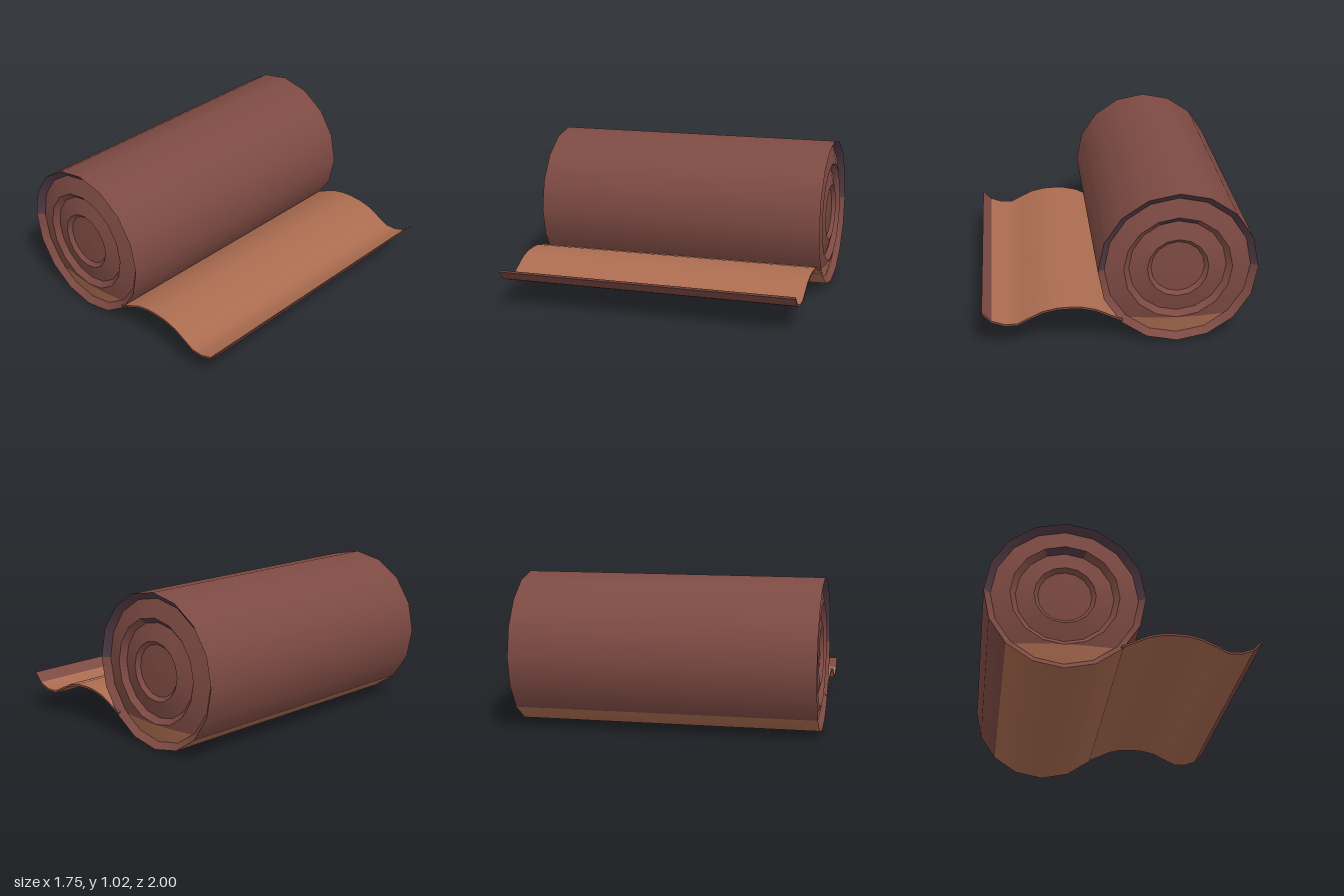
import * as THREE from 'three';

const CX = -0.37, CY = 0.508, SIDES = 16, STEP = Math.PI * 2 / SIDES;

export function createModel() {
  const maroon = new THREE.MeshStandardMaterial({ color: 0x7d4a43 });
  maroon.name = 'maroon cloth';
  const tan = new THREE.MeshStandardMaterial({ color: 0xab6c50 });
  tan.name = 'tan lining';
  const plum = new THREE.MeshStandardMaterial({ color: 0x513a44 });
  plum.name = 'dark plum edge';

  const model = new THREE.Group();
  model.name = 'clothRoll';
  const add = (parent, name, geometry, material) => {
    const mesh = new THREE.Mesh(geometry, material);
    mesh.name = name;
    parent.add(mesh);
    return mesh;
  };

  // Band swept around the z axis; segment 0 starts at the bottom
  const band = (r0, z0, r1, z1, first, count) =>
    new THREE.LatheGeometry([new THREE.Vector2(r0, z0), new THREE.Vector2(r1, z1)],
      count, first * STEP, count * STEP).rotateX(Math.PI / 2);

  // Roll body, lined in tan underneath
  const roll = new THREE.Group();
  roll.name = 'roll';
  roll.position.set(CX, CY, 0);
  model.add(roll);
  add(roll, 'rollOuter', band(0.508, -1, 0.508, 1, 2, 12), maroon);
  add(roll, 'rollUnderside', band(0.508, -1, 0.508, 1, -2, 4), tan);

  // Coiled ends: grooves and ridges as [radius, z]
  const coil = [[0.508, 1], [0.465, 0.96], [0.345, 0.99], [0.31, 0.955], [0.195, 0.985], [0.17, 0.96], [0, 0.965]];
  const darkArc = { 0: [4, 8], 2: [7, 2] };
  for (const side of [0, 1]) {
    const end = new THREE.Group();
    end.name = side ? 'backEnd' : 'frontEnd';
    end.rotation.y = side * Math.PI;
    roll.add(end);
    for (let i = 0; i < coil.length - 1; i++) {
      const [a, b] = [coil[i], coil[i + 1]];
      const arc = darkArc[i];
      if (arc) {
        add(end, 'coilShade', band(...a, ...b, arc[0], arc[1]), plum);
        add(end, 'coilRing', band(...a, ...b, arc[0] + arc[1], SIDES - arc[1]), maroon);
      } else add(end, 'coilRing', band(...a, ...b, 0, SIDES), maroon);
    }
    add(end, 'liningPatch', patchGeometry(), tan);
  }

  // Loose flap, waving out from the roll
  const wave = [[-0.02, 0.16], [0.06, 0.197], [0.15, 0.24], [0.24, 0.26], [0.31, 0.264], [0.4, 0.26],
    [0.49, 0.239], [0.58, 0.195], [0.65, 0.159], [0.73, 0.159], [0.81, 0.187], [0.87, 0.25]];
  const half = 0.007;
  const shape = new THREE.Shape([
    ...wave.map(([x, y]) => new THREE.Vector2(x, y - half)),
    ...wave.slice().reverse().map(([x, y]) => new THREE.Vector2(x, y + half)),
  ]);
  const slab = new THREE.ExtrudeGeometry(shape, { depth: 2, bevelEnabled: false }).translate(0, 0, -1);
  const flap = new THREE.Group();
  flap.name = 'flap';
  model.add(flap);
  add(flap, 'flapEdge', slab, maroon);

  // Smooth tan skins, stopping short of the tip
  const skin = (points, dir) => {
    const n = points.length;
    const g = new THREE.PlaneGeometry(1, 2, n - 1, 1).rotateX(-dir * Math.PI / 2);
    const p = g.attributes.position;
    for (let i = 0; i < p.count; i++) {
      const [x, y] = points[i % n];
      p.setXY(i, x, y + dir * (half + 0.002));
    }
    g.computeVertexNormals();
    return g;
  };
  add(flap, 'flapTop', skin(wave.slice(0, -1), 1), tan);
  add(flap, 'flapUnderside', skin(wave.slice(0, -1), -1), tan);

  return model;
}

// Flat-topped lining patch lying on the lower part of the outer ridge
function patchGeometry() {
  const limit = Math.acos(0.345 / 0.465) * 0.98;
  const angles = [-limit, -STEP, 0, STEP, limit];
  const pos = [], index = [];
  angles.forEach((t, i) => {
    const outer = Math.abs(t) > STEP ? 0.457 : 0.465;
    for (const r of [0.345 / Math.cos(t), outer]) {
      const z = 0.96 + 0.03 * (0.465 - r) / 0.12 + 0.004;
      pos.push(Math.sin(t) * r, -Math.cos(t) * r, z);
    }
    const k = i * 2;
    if (i) index.push(k - 2, k - 1, k + 1, k - 2, k + 1, k);
  });
  const g = new THREE.BufferGeometry();
  g.setAttribute('position', new THREE.Float32BufferAttribute(pos, 3));
  g.setIndex(index);
  g.computeVertexNormals();
  return g;
}
